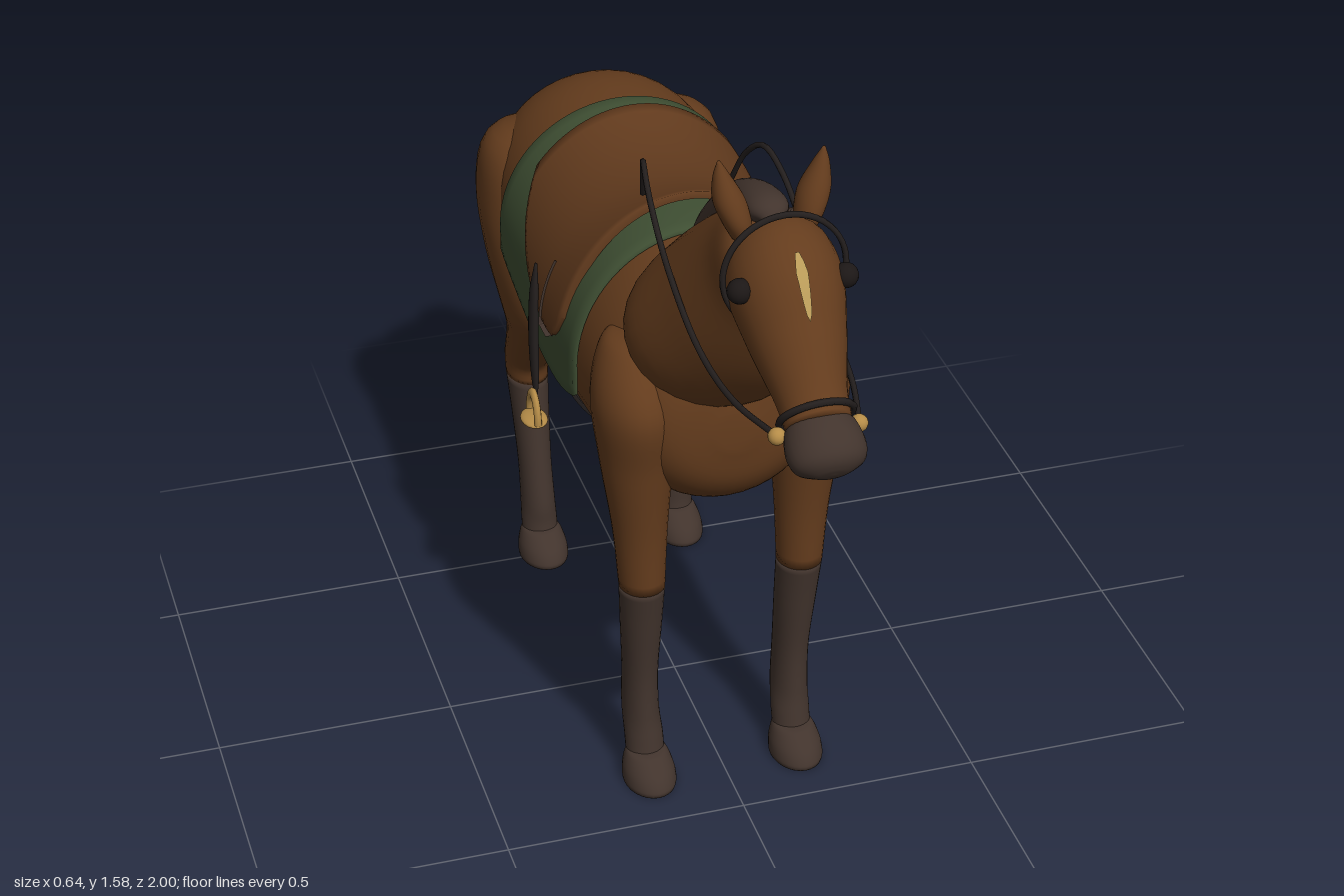
import * as THREE from 'three';

const V = (x, y, z) => new THREE.Vector3(x, y, z);
const mat = (name, color, side = THREE.FrontSide) =>
  Object.assign(new THREE.MeshStandardMaterial({ color, side }), { name });

// Section surface: rows are [x, y, z, halfWidth, halfDepth]; axis fixes the section normal
function sections(rows, axis) {
  const path = new THREE.CatmullRomCurve3(rows.map(r => V(r[0], r[1], r[2])), false, 'catmullrom', 0.5);
  const size = new THREE.CatmullRomCurve3(rows.map(r => V(r[3], r[4], 0)), false, 'catmullrom', 0.5);
  return (t, a, off = 0) => {
    const T = axis || path.getTangent(t);
    const X = V(1, 0, 0), U = T.clone().cross(X).normalize(), s = size.getPoint(t);
    return path.getPoint(t)
      .addScaledVector(X, (Math.max(s.x, 0.002) + off) * Math.cos(a))
      .addScaledVector(U, (Math.max(s.y, 0.002) + off) * Math.sin(a));
  };
}

// Closed smooth skin over a section surface
function skin(ring, steps = 32, seg = 28) {
  const pos = [], idx = [], n = seg;
  for (let i = 0; i <= steps; i++)
    for (let j = 0; j < n; j++) pos.push(...ring(i / steps, (j / n) * Math.PI * 2).toArray());
  for (let i = 0; i < steps; i++)
    for (let j = 0; j < n; j++) {
      const a = i * n + j, b = i * n + (j + 1) % n;
      idx.push(a, b, a + n, b, b + n, a + n);
    }
  for (let j = 1; j < n - 1; j++) {
    const e = steps * n;
    idx.push(0, j + 1, j, e, e + j, e + j + 1);
  }
  return finish(pos, idx);
}

function finish(pos, idx) {
  const g = new THREE.BufferGeometry();
  g.setAttribute('position', new THREE.Float32BufferAttribute(pos, 3));
  g.setIndex(idx);
  g.computeVertexNormals();
  return g;
}

const DOWN = V(0, -1, 0), FORWARD = V(0, 0, 1);

export function createModel() {
  const model = new THREE.Group();
  const coat = mat('chestnut coat', 0x643c1d);
  const dark = mat('dark hair and hoof', 0x42342d);
  const cloth = mat('green cloth', 0x3f4f33, THREE.DoubleSide);
  const leather = mat('saddle leather', 0x613a1d, THREE.DoubleSide);
  const strap = mat('dark strap', 0x241f1e, THREE.DoubleSide);
  const brass = mat('brass', 0xb58c48);
  const blazeTan = mat('blaze tan', 0xb89a58, THREE.DoubleSide);
  const eyeBlack = mat('eye black', 0x1c1716);

  const add = (name, geo, m, x = 0, y = 0, z = 0) => {
    const mesh = new THREE.Mesh(geo, m);
    mesh.name = name;
    mesh.position.set(x, y, z);
    model.add(mesh);
    return mesh;
  };
  const loft = (name, rows, m, axis) => add(name, skin(sections(rows, axis)), m);
  const tube = (name, pts, r, m, closed = false) =>
    add(name, new THREE.TubeGeometry(new THREE.CatmullRomCurve3(pts, closed), 48, r, 6, closed), m);
  const ball = (name, r, m, x, y, z) => add(name, new THREE.SphereGeometry(r, 16, 12), m, x, y, z);

  // Barrel, rump and chest
  const body = sections([
    [0, 0.95, -0.735, 0.03, 0.03], [0, 0.95, -0.72, 0.12, 0.11], [0, 0.945, -0.66, 0.195, 0.18],
    [0, 0.94, -0.56, 0.235, 0.23], [0, 0.93, -0.42, 0.25, 0.25], [0, 0.91, -0.25, 0.25, 0.26],
    [0, 0.895, -0.05, 0.25, 0.275], [0, 0.9, 0.14, 0.245, 0.27], [0, 0.895, 0.28, 0.225, 0.245],
    [0, 0.885, 0.37, 0.195, 0.2], [0, 0.88, 0.425, 0.14, 0.13], [0, 0.88, 0.445, 0.04, 0.04]], FORWARD);
  add('body', skin(body, 60, 40), coat);

  // Neck, head and muzzle
  loft('neck', [
    [0, 0.99, 0.27, 0.08, 0.08], [0, 1.035, 0.3, 0.18, 0.15], [0, 1.085, 0.35, 0.195, 0.172],
    [0, 1.19, 0.45, 0.15, 0.168], [0, 1.3, 0.545, 0.105, 0.14], [0, 1.38, 0.615, 0.085, 0.1],
    [0, 1.41, 0.64, 0.04, 0.04]], coat);
  const head = sections([
    [0, 1.41, 0.585, 0.03, 0.03], [0, 1.39, 0.63, 0.088, 0.1], [0, 1.36, 0.7, 0.108, 0.118],
    [0, 1.29, 0.78, 0.092, 0.098], [0, 1.22, 0.86, 0.068, 0.07], [0, 1.18, 0.91, 0.062, 0.057]]);
  add('head', skin(head), coat);
  loft('muzzle', [
    [0, 1.185, 0.9, 0.055, 0.05], [0, 1.175, 0.915, 0.068, 0.058], [0, 1.155, 0.95, 0.075, 0.061],
    [0, 1.14, 0.978, 0.066, 0.05], [0, 1.13, 0.993, 0.035, 0.024], [0, 1.128, 0.996, 0.004, 0.004]], dark);

  // Blaze as a slim plate on the forehead
  const blaze = [], blazeIdx = [];
  for (let i = 0; i <= 8; i++) {
    const p = head(0.4 + i * 0.026, Math.PI / 2, 0.005);
    const w = 0.013 * Math.sqrt(1 - i / 8) * Math.min(1, 0.3 + i * 0.4);
    blaze.push(-w, p.y, p.z, w, p.y, p.z);
    if (i) blazeIdx.push(2 * i - 2, 2 * i, 2 * i - 1, 2 * i - 1, 2 * i, 2 * i + 1);
  }
  add('blaze', finish(blaze, blazeIdx), blazeTan);

  // Mane with small tufts on the left side
  loft('mane', [
    [0, 1.455, 0.635, 0.015, 0.01], [0, 1.462, 0.6, 0.04, 0.028], [0, 1.435, 0.52, 0.045, 0.04],
    [0, 1.38, 0.43, 0.047, 0.045], [0, 1.28, 0.32, 0.048, 0.045], [0, 1.205, 0.255, 0.042, 0.035],
    [0, 1.17, 0.225, 0.01, 0.01]], dark);
  for (let i = 0; i < 5; i++) {
    const tuft = ball('maneTuft', 0.03, dark, 0.055 + i * 0.003, 1.425 - i * 0.013, 0.605 - i * 0.023);
    tuft.scale.set(0.6, 1, 0.45);
    tuft.rotation.x = -0.6;
  }

  // Tail
  loft('tail', [
    [0, 1.04, -0.69, 0.03, 0.03], [0, 1.015, -0.735, 0.06, 0.05], [0, 0.9, -0.8, 0.063, 0.058],
    [0, 0.7, -0.87, 0.07, 0.064], [0, 0.5, -0.92, 0.081, 0.06], [0, 0.36, -0.945, 0.07, 0.05],
    [0, 0.28, -0.957, 0.042, 0.035], [0, 0.255, -0.96, 0.005, 0.005]], dark);

  // Saddle pieces wrap the barrel: angle 0 is the spine, past the widest line they hang straight
  function wrap(name, m, z0, z1, off, from, to, hang = true, lift = () => 0) {
    const nu = 22, nv = 44, pos = [], idx = [];
    for (let i = 0; i <= nu; i++) {
      const z = z0 + (z1 - z0) * Math.min(1, Math.max(0, (i - 1) / (nu - 2)));
      let lo = 0, hi = 1;
      for (let k = 0; k < 24; k++) {
        const mid = (lo + hi) / 2;
        if (body(mid, 0).z < z) lo = mid; else hi = mid;
      }
      const w = body(lo, 0).x, top = body(lo, Math.PI / 2).y, bottom = body(lo, -Math.PI / 2).y;
      const cy = (top + bottom) / 2, h = (top - bottom) / 2, a0 = from(cy, h, z), a1 = to(cy, h, z);
      for (let j = 0; j <= nv; j++) {
        const a = a0 + (a1 - a0) * Math.min(1, Math.max(0, (j - 1) / (nv - 2)));
        const o = i === 0 || j === 0 || i === nu || j === nv ? off * 0.3 : off;
        const sx = hang && Math.cos(a) < 0 ? Math.sign(a) : Math.sin(a);
        pos.push((w + o) * sx, cy + (h + o) * Math.cos(a) + lift(z) * Math.max(0, Math.cos(a)) ** 2, z);
        if (i && j) {
          const q = i * (nv + 1) + j, p = q - nv - 1;
          idx.push(p - 1, p, q - 1, p, q, q - 1);
        }
      }
    }
    add(name, finish(pos, idx), m);
  }
  const angleAt = edge => (cy, h, z) => Math.acos(THREE.MathUtils.clamp((edge(z) - cy) / h, -1, 1));
  const minus = f => (...a) => -f(...a);
  const clothEdge = angleAt(z => 0.81 + (z > 0 ? 1.2 : 0.4) * z * z);
  const flapEdge = angleAt(z => z > 0.03 ? 0.91 + 0.06 * ((z - 0.03) / 0.055) ** 2 : 0.91 + 0.17 * (z / 0.3) ** 2);
  wrap('saddleCloth', cloth, -0.4, 0.155, 0.014, minus(clothEdge), clothEdge);
  wrap('saddle', leather, -0.305, 0.085, 0.024, minus(flapEdge), flapEdge, true,
    z => 0.035 * ((z + 0.11) / 0.195) ** 2 - 0.008);
  const girthTop = angleAt(() => 0.83);
  wrap('girth', strap, -0.03, 0.022, 0.012, girthTop, (...a) => 2 * Math.PI - girthTop(...a), false);

  for (const s of [-1, 1]) {
    const side = s > 0 ? 'left' : 'right';
    const m = rows => rows.map(r => [r[0] * s, ...r.slice(1)]);

    // Front leg
    loft(side + 'FrontLeg', m([
      [0.17, 1.045, 0.27, 0.01, 0.02], [0.175, 1.02, 0.28, 0.055, 0.075], [0.178, 0.92, 0.315, 0.083, 0.113],
      [0.176, 0.78, 0.325, 0.073, 0.085], [0.17, 0.62, 0.328, 0.056, 0.062],
      [0.167, 0.48, 0.33, 0.047, 0.053]]), coat, DOWN);
    loft(side + 'FrontCannon', m([
      [0.167, 0.48, 0.33, 0.047, 0.053], [0.165, 0.38, 0.315, 0.043, 0.05], [0.163, 0.25, 0.297, 0.037, 0.05],
      [0.162, 0.15, 0.295, 0.038, 0.053], [0.16, 0.09, 0.312, 0.04, 0.044], [0.16, 0.04, 0.325, 0.04, 0.04]]), dark, DOWN);

    // Hind leg
    loft(side + 'HindLeg', m([
      [0.15, 1.09, -0.56, 0.01, 0.02], [0.16, 1.04, -0.565, 0.09, 0.1], [0.168, 0.92, -0.555, 0.104, 0.17],
      [0.168, 0.8, -0.5, 0.1, 0.185], [0.166, 0.7, -0.462, 0.085, 0.152], [0.164, 0.62, -0.485, 0.068, 0.11],
      [0.162, 0.53, -0.56, 0.055, 0.088], [0.162, 0.47, -0.608, 0.048, 0.073],
      [0.162, 0.425, -0.612, 0.046, 0.065]]), coat, DOWN);
    loft(side + 'HindCannon', m([
      [0.162, 0.425, -0.612, 0.046, 0.065], [0.162, 0.33, -0.588, 0.041, 0.054], [0.161, 0.22, -0.565, 0.037, 0.05],
      [0.16, 0.13, -0.55, 0.038, 0.052], [0.16, 0.08, -0.54, 0.04, 0.044], [0.16, 0.04, -0.53, 0.04, 0.04]]), dark, DOWN);

    // Hooves
    for (const [part, z] of [['FrontHoof', 0.345], ['HindHoof', -0.515]])
      loft(side + part, m([
        [0.16, 0.066, z - 0.015, 0.03, 0.035], [0.16, 0.06, z - 0.012, 0.042, 0.05],
        [0.16, 0.035, z, 0.052, 0.068], [0.16, 0.012, z + 0.008, 0.055, 0.075],
        [0.16, 0, z + 0.008, 0.054, 0.074]]), dark, DOWN);

    // Ear and eye
    loft(side + 'Ear', m([
      [0.1, 1.583, 0.615, 0.003, 0.003], [0.094, 1.55, 0.615, 0.017, 0.018], [0.082, 1.505, 0.618, 0.03, 0.034],
      [0.07, 1.465, 0.625, 0.028, 0.036], [0.06, 1.43, 0.63, 0.02, 0.025]]), coat, DOWN);
    ball(side + 'Eye', 0.024, eyeBlack, s * 0.101, 1.387, 0.748);

    // Rein and bit
    ball(side + 'Bit', 0.017, brass, s * 0.078, 1.17, 0.905);
    tube(side + 'Rein', [[0.08, 1.17, 0.9], [0.115, 1.165, 0.76], [0.132, 1.185, 0.6], [0.14, 1.265, 0.42],
      [0.135, 1.345, 0.28], [0.122, 1.368, 0.2], [0.105, 1.325, 0.14], [0.09, 1.235, 0.085]]
      .map(p => V(p[0] * s, p[1], p[2])), 0.006, strap);

    // Billet strap, stirrup leather and stirrup
    const up = angleAt(() => 1.03), low = angleAt(() => 0.9);
    wrap(side + 'Billet', dark, -0.03, 0.022, 0.029, (...a) => s * (s > 0 ? up : low)(...a),
      (...a) => s * (s > 0 ? low : up)(...a));
    loft(side + 'StirrupLeather', m([
      [0.272, 1.02, -0.068, 0.003, 0.004], [0.277, 0.95, -0.07, 0.009, 0.015], [0.28, 0.85, -0.07, 0.01, 0.017],
      [0.28, 0.76, -0.065, 0.008, 0.013], [0.28, 0.71, -0.06, 0.003, 0.004]]), strap, DOWN);
    const arch = add(side + 'StirrupArch', new THREE.TorusGeometry(0.034, 0.008, 8, 20, Math.PI), brass, s * 0.293, 0.68, -0.03);
    arch.rotation.y = Math.PI / 2;
    arch.scale.y = 1.6;
    ball(side + 'StirrupTread', 0.04, brass, s * 0.293, 0.677, -0.03).scale.set(0.7, 0.25, 1);
  }

  // Bridle bands
  const loop = f => Array.from({ length: 24 }, (_, i) => f((i / 24) * Math.PI * 2));
  tube('browBand', loop(a => V(0.118 * Math.cos(a), 1.385 + 0.117 * Math.sin(a), 0.7)), 0.006, strap, true);
  tube('noseBand', loop(a => head(0.93, a, 0.006)), 0.007, strap, true);
  return model;
}
